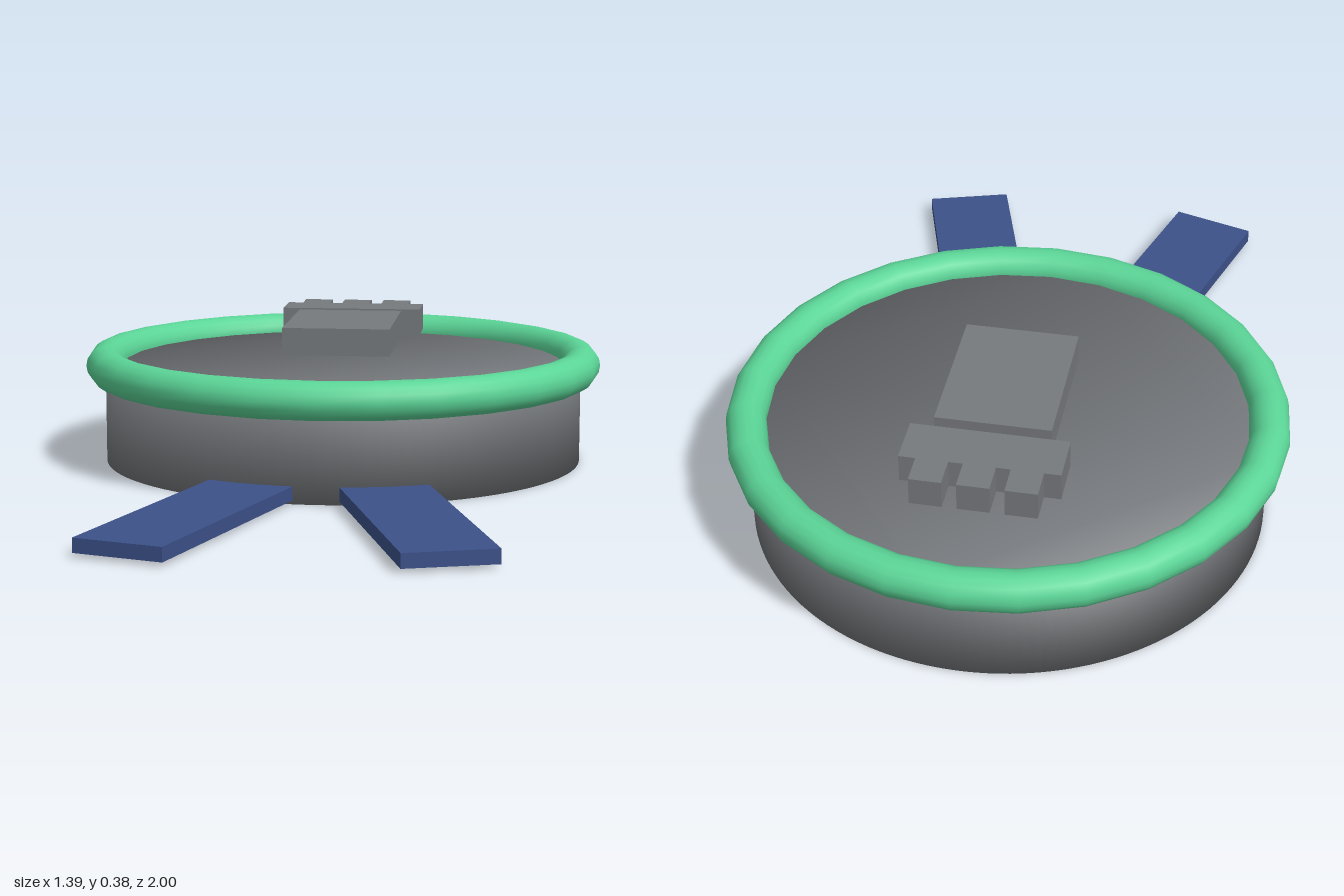
import * as THREE from 'three';

const CENTER_Z = -0.305;

export function createModel() {
  const model = new THREE.Group();
  const grey = new THREE.MeshStandardMaterial({ name: 'slate grey', color: 0x777a7e });
  const green = new THREE.MeshStandardMaterial({ name: 'mint green', color: 0x5bd597 });
  const blue = new THREE.MeshStandardMaterial({ name: 'ribbon blue', color: 0x3c5189 });

  const add = (name, geometry, material, x, y, z) => {
    const mesh = new THREE.Mesh(geometry, material);
    mesh.name = name;
    mesh.position.set(x, y, z);
    model.add(mesh);
    return mesh;
  };

  // Extrudes an outline drawn in x and -z upward by the given height
  const slab = (shape, height, curveSegments = 12) =>
    new THREE.ExtrudeGeometry(shape, { depth: height, bevelEnabled: false, curveSegments })
      .rotateX(-Math.PI / 2);

  // Disc, with normals smoothed over both rims
  const discHeight = 0.26;
  const discGeometry = slab(new THREE.Shape().absarc(0, 0, 0.643, 0, Math.PI * 2), discHeight, 64);
  const p = discGeometry.attributes.position;
  const normal = new THREE.Vector3();
  for (let i = 0; i < p.count; i++) {
    normal.set(p.getX(i), 0, p.getZ(i)).normalize();
    normal.y = p.getY(i) > discHeight / 2 ? 1 : -1;
    normal.normalize();
    discGeometry.attributes.normal.setXYZ(i, normal.x, normal.y, normal.z);
  }
  add('disc', discGeometry, grey, 0, 0, CENTER_Z);

  // Rim ring
  const ring = new THREE.TorusGeometry(0.645, 0.05, 16, 28).rotateX(Math.PI / 2);
  add('rim', ring, green, 0, 0.26, CENTER_Z);

  // Tower emblem: body and battlements
  const emblemBase = 0.303, emblemHeight = 0.072;
  add('towerBody', new THREE.BoxGeometry(0.285, emblemHeight, 0.382), grey,
    0, emblemBase + emblemHeight / 2, -0.307);

  const crown = new THREE.Shape();
  crown.moveTo(-0.193, 0.53);
  crown.lineTo(0.193, 0.53);
  crown.lineTo(0.193, 0.655);
  for (const x of [0.113, 0, -0.113]) {
    crown.lineTo(x + 0.039, 0.655);
    crown.lineTo(x + 0.039, 0.732);
    crown.lineTo(x - 0.039, 0.732);
    crown.lineTo(x - 0.039, 0.655);
  }
  crown.lineTo(-0.193, 0.655);
  crown.closePath();
  add('towerCrown', slab(crown, emblemHeight), grey, 0, emblemBase, 0);

  // Ribbon tails
  for (const [name, side] of [['leftRibbon', 1], ['rightRibbon', -1]]) {
    const ribbon = add(name, new THREE.BoxGeometry(0.225, 0.035, 0.69), blue, side * 0.267, 0.0275, 0.635);
    ribbon.rotation.y = side * 0.297;
  }

  return model;
}
